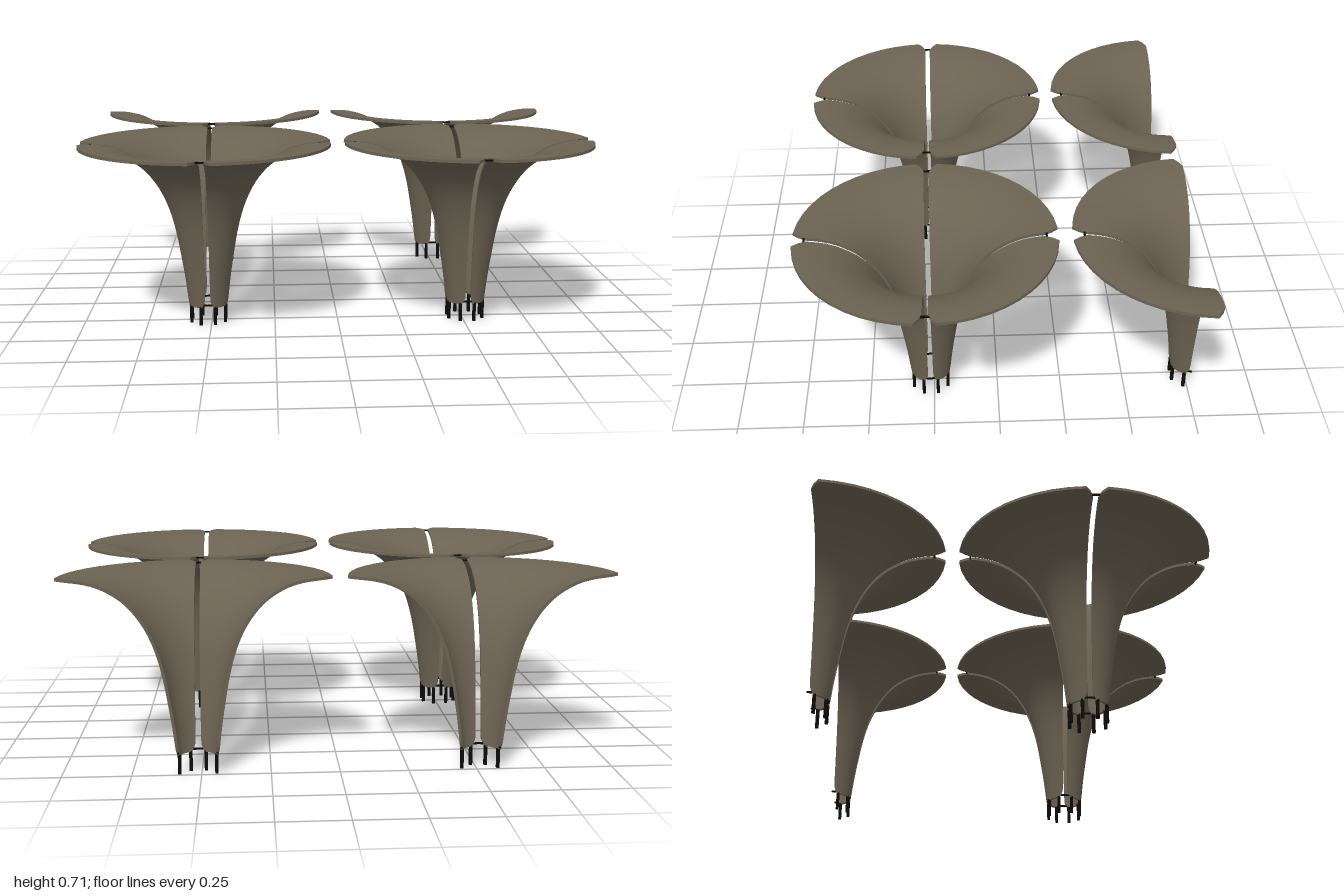
import * as THREE from 'three';

const shellMat = new THREE.MeshStandardMaterial({ color: 0x6b6252 });
shellMat.name = 'warm taupe';
const steelMat = new THREE.MeshStandardMaterial({ color: 0x0a0a0a });
steelMat.name = 'black steel';

const RIM = 0.4875, THICK = 0.011, ROWS = 32, COLS = 11;

// Outer trumpet profile (radius, height) and its inward offset
const curve = new THREE.SplineCurve([
  [0.077, 0.07], [0.087, 0.16], [0.1, 0.25], [0.121, 0.37], [0.149, 0.47], [0.19, 0.555],
  [0.25, 0.628], [0.33, 0.678], [0.41, 0.699], [RIM, 0.704],
].map(([r, y]) => new THREE.Vector2(r, y)));
const outer = curve.getSpacedPoints(ROWS);
const inner = outer.map((p, i) => {
  const t = curve.getTangentAt(i / ROWS);
  return new THREE.Vector2(p.x - t.y * THICK, p.y + t.x * THICK);
});

// Half the slot width: straight slot, with cut corners at the rim and the foot
function halfGap(p) {
  const rim = Math.max(0, (p.x - 0.445) / (RIM - 0.445)) * 0.03;
  const foot = Math.max(0, (0.1 - p.y) / 0.03) * 0.012;
  return 0.01 + rim + foot;
}

// One quarter shell: two faces and four edge strips, kept apart for sharp edges
function petalGeometry() {
  const pos = [], index = [];
  const point = (line, i, j) => {
    const r = line[i].x, a = Math.asin(halfGap(outer[i]) / r);
    const t = a + (Math.PI / 2 - 2 * a) * j / COLS;
    return [r * Math.cos(t), line[i].y, r * Math.sin(t)];
  };
  const grid = (nu, nv, f, flip) => {
    const base = pos.length / 3;
    for (let u = 0; u <= nu; u++) for (let v = 0; v <= nv; v++) pos.push(...f(u, v));
    for (let u = 0; u < nu; u++) for (let v = 0; v < nv; v++) {
      const a = base + u * (nv + 1) + v, b = a + nv + 1;
      if (flip) index.push(a, a + 1, b, b, a + 1, b + 1);
      else index.push(a, b, a + 1, b, b + 1, a + 1);
    }
  };
  const side = v => (v ? inner : outer);
  grid(ROWS, COLS, (u, v) => point(outer, u, v), false);
  grid(ROWS, COLS, (u, v) => point(inner, u, v), true);
  grid(ROWS, 1, (u, v) => point(side(v), u, 0), true);
  grid(ROWS, 1, (u, v) => point(side(v), u, COLS), false);
  grid(COLS, 1, (u, v) => point(side(v), ROWS, u), true);
  grid(COLS, 1, (u, v) => point(side(v), 0, u), false);
  const g = new THREE.BufferGeometry();
  g.setAttribute('position', new THREE.Float32BufferAttribute(pos, 3));
  g.setIndex(index);
  g.computeVertexNormals();
  return g;
}

function addMesh(parent, name, geometry, material) {
  const m = new THREE.Mesh(geometry, material);
  m.name = name;
  parent.add(m);
  return m;
}

export function createModel() {
  const model = new THREE.Group();
  model.name = 'funnelCanopies';
  const petalGeo = petalGeometry();
  const legGeo = new THREE.BoxGeometry(0.012, 0.075, 0.012);
  const tieGeo = new THREE.BoxGeometry(0.007, 0.006, 0.05);

  function canopy(name, x, z, petals) {
    const group = new THREE.Group();
    group.name = name;
    group.position.set(x, 0, z);
    for (let k = 0; k < petals; k++) {
      // Quarter shell on two legs
      const quarter = new THREE.Group();
      quarter.name = 'quarter';
      quarter.rotation.y = -k * Math.PI / 2;
      addMesh(quarter, 'petal', petalGeo, shellMat);
      for (const a of [Math.PI / 8, 3 * Math.PI / 8]) {
        addMesh(quarter, 'leg', legGeo, steelMat)
          .position.set(0.072 * Math.cos(a), 0.0375, 0.072 * Math.sin(a));
      }
      // Tie across the slot to the previous quarter
      if (k > 0 || petals === 4) {
        addMesh(quarter, 'rimTie', tieGeo, steelMat).position.set(0.443, 0.708, 0);
      }
      group.add(quarter);
    }
    // Ring joining the shells at the foot
    const ring = new THREE.TorusGeometry(0.0725, 0.004, 6, petals * 6, petals * Math.PI / 2);
    ring.rotateX(Math.PI / 2);
    addMesh(group, 'footRing', ring, steelMat).position.y = 0.08;
    model.add(group);
  }

  // Two full canopies in front, two half canopies along the back
  for (const s of [1, -1]) {
    const label = s > 0 ? 'Left' : 'Right';
    canopy('front' + label + 'Canopy', s * 0.5125, 0.2625, 4);
    canopy('back' + label + 'HalfCanopy', s * 0.5125, -0.7625, 2);
  }
  return model;
}
